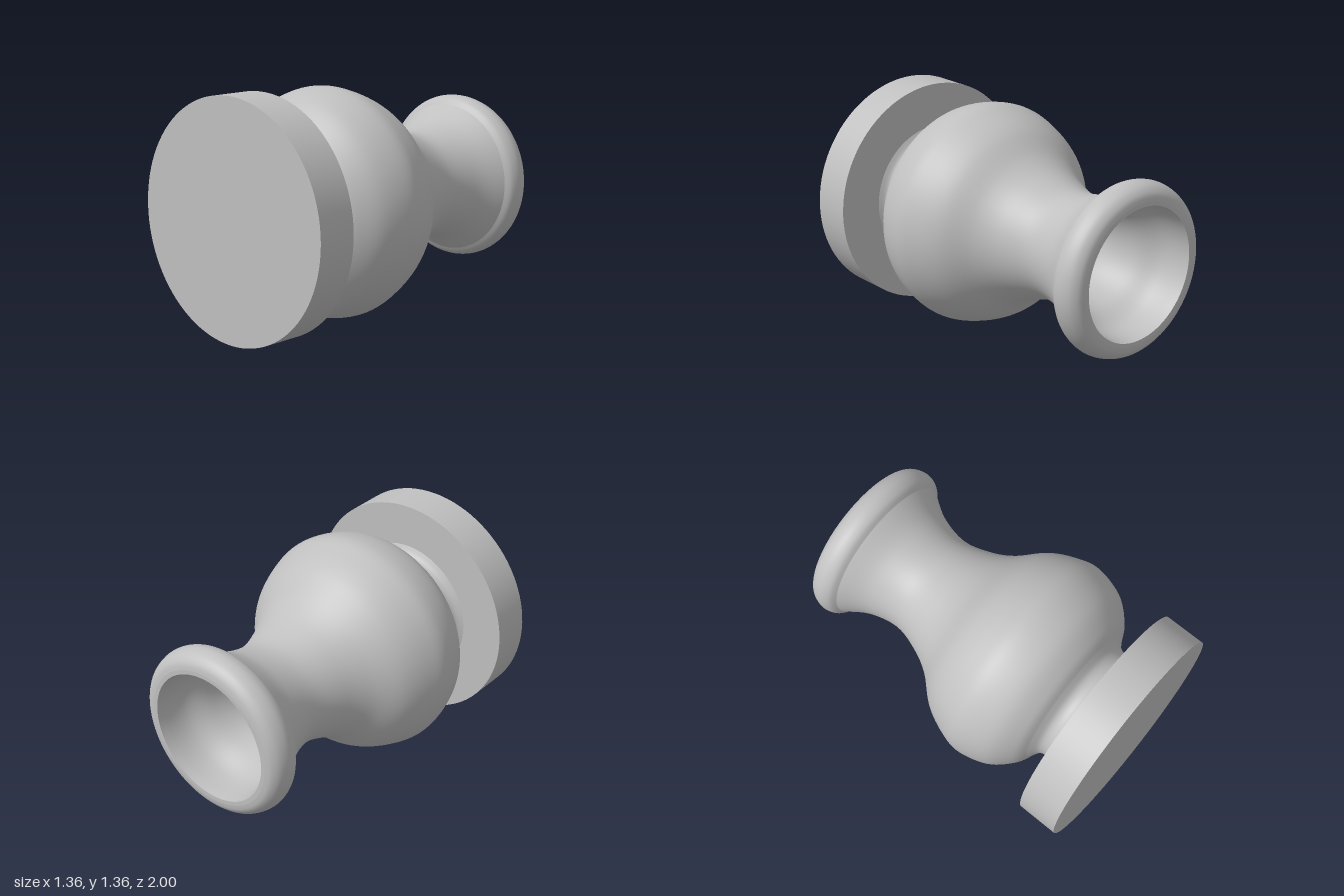
import * as THREE from 'three';

const SEGMENTS = 96;

// Turned surface about the local y axis, smoothed through [radius, height] points
function turned(name, points, material, steps = 40) {
  const curve = new THREE.SplineCurve(points.map(([r, h]) => new THREE.Vector2(r, h)));
  const mesh = new THREE.Mesh(new THREE.LatheGeometry(curve.getPoints(steps), SEGMENTS), material);
  mesh.name = name;
  return mesh;
}

export function createModel() {
  const grey = new THREE.MeshStandardMaterial({ color: 0xc0c0c0 });
  grey.name = 'light grey';
  const model = new THREE.Group();
  model.name = 'vase';

  // Round plinth
  const base = new THREE.Mesh(new THREE.CylinderGeometry(0.68, 0.68, 0.24, SEGMENTS), grey);
  base.name = 'base';
  base.position.y = -0.88;

  model.add(
    base,
    // Narrow groove between plinth and belly
    turned('foot', [[0.42, -0.76], [0.382, -0.735], [0.367, -0.69], [0.382, -0.645], [0.435, -0.61]], grey, 20),
    // Full belly sweeping into the waisted neck
    turned('body', [
      [0.435, -0.61], [0.515, -0.565], [0.615, -0.45], [0.663, -0.28], [0.64, -0.15], [0.57, 0],
      [0.44, 0.15], [0.365, 0.29], [0.32, 0.47], [0.36, 0.66], [0.45, 0.81],
    ], grey, 64),
    // Rolled rim
    turned('rim', [
      [0.45, 0.81], [0.486, 0.84], [0.502, 0.895], [0.486, 0.955], [0.45, 0.99], [0.41, 1],
    ], grey, 24),
    turned('rimTop', [[0.41, 1], [0.385, 1]], grey, 1),
    turned('mouth', [[0.385, 1], [0.38, 0.96]], grey, 1),
    // Hollow inside, following the outer wall
    turned('interior', [
      [0.38, 0.96], [0.36, 0.82], [0.29, 0.67], [0.25, 0.47], [0.29, 0.27], [0.37, 0.12],
      [0.49, -0.02], [0.56, -0.16], [0.58, -0.28], [0.535, -0.43], [0.4, -0.53], [0.2, -0.56], [0, -0.56],
    ], grey, 64),
  );

  // Lay the vase on its side, foot toward the front
  const group = new THREE.Group();
  model.rotation.x = -Math.PI / 2;
  model.position.y = 0.68;
  group.add(model);
  return group;
}
